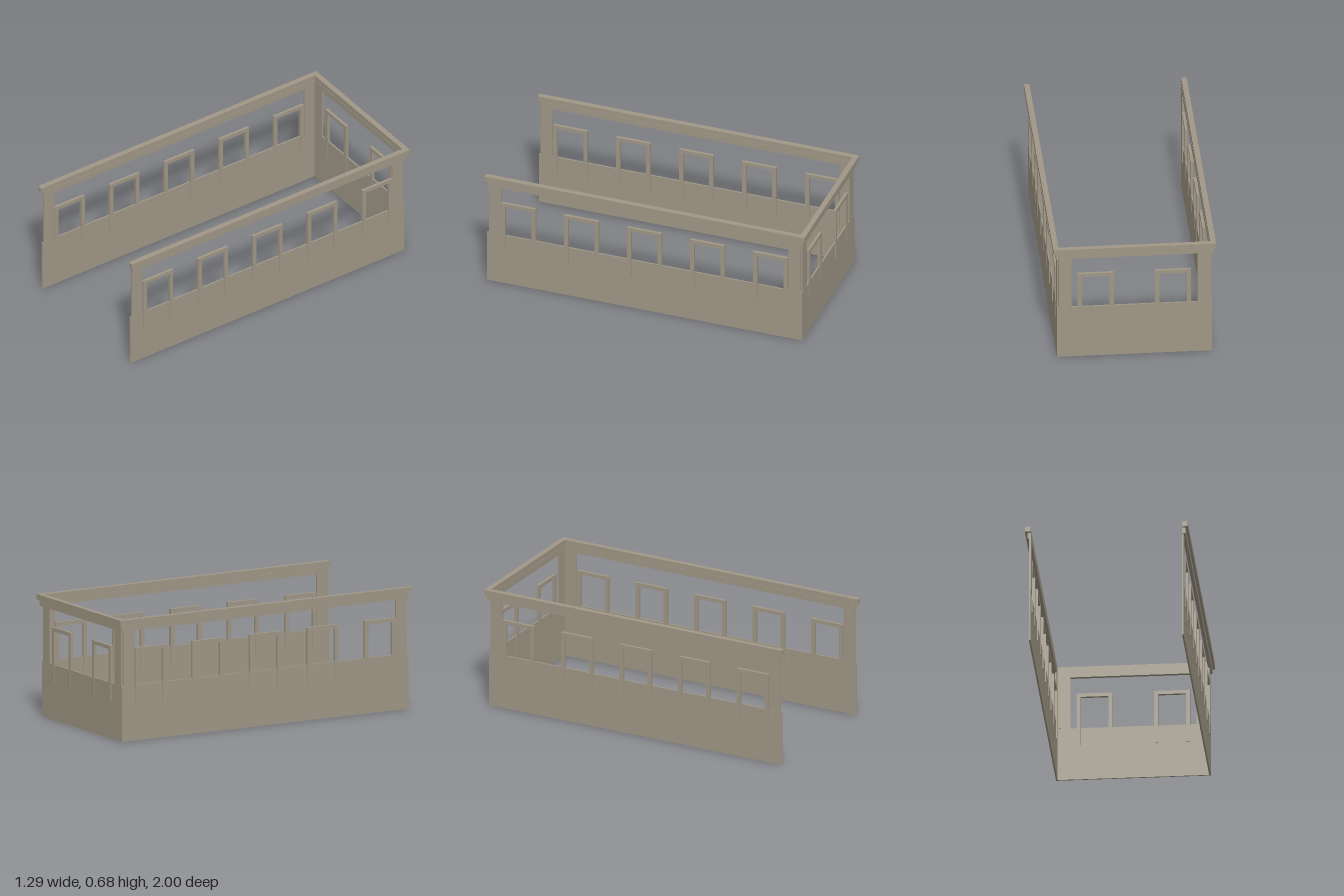
import * as THREE from 'three';

const W = 0.422;                      // half width to the outer wall face
const BACK = -0.901, FRONT = 0.916;   // wall run along the building
const T = 0.009;                      // wall thickness
const SILL = 0.307, HEAD = 0.612;     // parapet top, cornice underside

const stone = new THREE.MeshStandardMaterial({ color: 0xa09786 });
stone.name = 'warm grey stone';

// U-shaped band, open at the front: out/inn are offsets from the outer wall face
function band(name, out, inn, end, y0, y1) {
  const a = W + out, b = W - inn, f = -(FRONT + end);
  const k = -(BACK - out), m = -(BACK + inn);
  const shape = new THREE.Shape([
    [-a, f], [-b, f], [-b, m], [b, m], [b, f], [a, f], [a, k], [-a, k],
  ].map(([x, y]) => new THREE.Vector2(x, y)));
  const geo = new THREE.ExtrudeGeometry(shape, { depth: y1 - y0, bevelEnabled: false });
  geo.rotateX(-Math.PI / 2).translate(0, y0, 0);
  const mesh = new THREE.Mesh(geo, stone);
  mesh.name = name;
  return mesh;
}

// Three-sided window frame whose legs run down past the sill
function windowFrame() {
  const w = 0.197 / 2, leg = 0.023, y0 = 0.205, y1 = 0.513, bar = 0.021, depth = 0.016;
  const shape = new THREE.Shape([
    [-w, y0], [-w + leg, y0], [-w + leg, y1 - bar], [w - leg, y1 - bar],
    [w - leg, y0], [w, y0], [w, y1], [-w, y1],
  ].map(([x, y]) => new THREE.Vector2(x, y)));
  const geo = new THREE.ExtrudeGeometry(shape, { depth, bevelEnabled: false });
  return geo.translate(0, 0, -depth / 2);
}
const frameGeo = windowFrame();
const columnGeo = new THREE.BoxGeometry(0.069, HEAD - SILL, T);

// Corner columns and evenly spaced frames of one wall, laid out along local x
function wallDetails(name, length, bays) {
  const g = new THREE.Group();
  g.name = name;
  for (const s of [-1, 1]) {
    const column = new THREE.Mesh(columnGeo, stone);
    column.name = 'column';
    column.position.set(s * (length / 2 - 0.0445), (SILL + HEAD) / 2, -0.001);
    g.add(column);
  }
  for (let i = 0; i < bays; i++) {
    const frame = new THREE.Mesh(frameGeo, stone);
    frame.name = 'windowFrame';
    frame.position.x = ((i + 0.5) / bays - 0.5) * length;
    g.add(frame);
  }
  return g;
}

export function createModel() {
  const building = new THREE.Group();
  building.name = 'openHall';

  building.add(
    band('parapetWall', 0, T, 0, 0, SILL),
    band('lowerCornice', 0.009, 0.010, -0.009, HEAD, 0.646),
    band('upperCornice', 0.0215, 0.0085, 0.0065, 0.646, 0.676),
  );

  // Long side walls
  const mid = (FRONT + BACK) / 2;
  for (const s of [-1, 1]) {
    const side = wallDetails(s > 0 ? 'leftWallDetails' : 'rightWallDetails', FRONT - BACK, 5);
    side.position.set(s * (W - T / 2), 0, mid);
    side.rotation.y = s * Math.PI / 2;
    building.add(side);
  }

  // Short back wall
  const back = wallDetails('backWallDetails', W * 2, 2);
  back.position.z = BACK + T / 2;
  back.rotation.y = Math.PI;
  building.add(back);

  // The whole building stands turned on its site
  building.rotation.y = -THREE.MathUtils.degToRad(13.4);
  const model = new THREE.Group();
  model.name = 'model';
  model.add(building);
  return model;
}
